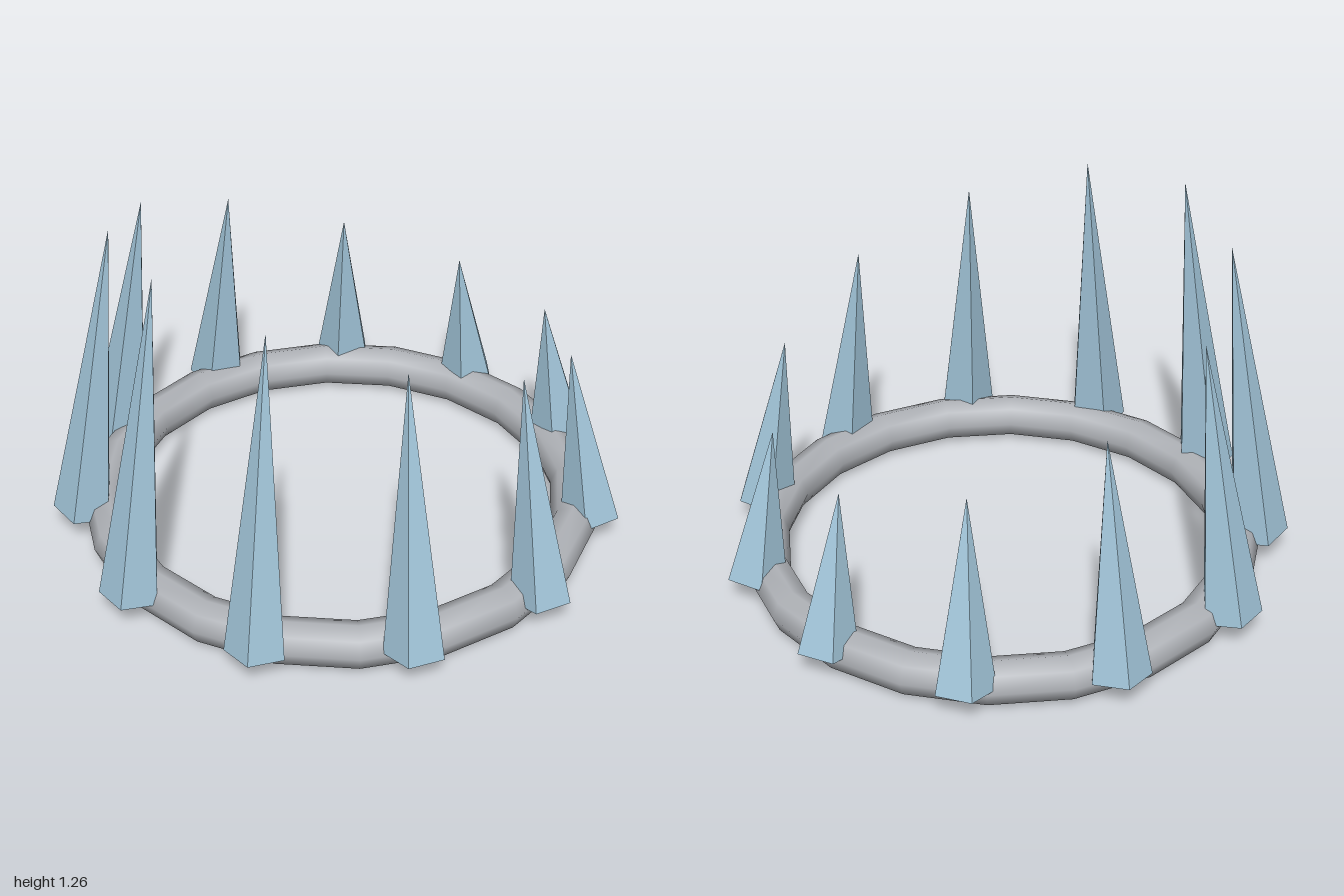
import * as THREE from 'three';

export function createModel() {
  const crown = new THREE.Group();
  crown.name = 'crown';

  const ringMetal = new THREE.MeshStandardMaterial({ color: 0xb0b3b8 });
  ringMetal.name = 'ring grey';
  const ice = new THREE.MeshStandardMaterial({ color: 0xa2c5d9, flatShading: true });
  ice.name = 'spike pale blue';

  const centreZ = -0.037;
  const ringRadius = 0.842;

  // Base ring: smooth, eight-sided tube in twenty segments
  const band = new THREE.Mesh(new THREE.TorusGeometry(0.84, 0.079, 8, 20).rotateX(Math.PI / 2), ringMetal);
  band.name = 'ring';
  band.position.set(0, 0.079, centreZ);
  crown.add(band);

  // Spikes: tallest at the front, shrinking to the back; each leans inward
  const count = 11;
  const baseY = 0.09;
  const tipHeights = [1.265, 1.215, 1.08, 0.91, 0.745, 0.65];
  const halfLeans = [0.077, 0.076, 0.073, 0.063, 0.055, 0.045];
  const up = new THREE.Vector3(0, 1, 0);

  function addSpike(step) {
    const i = Math.abs(step);
    const angle = (step / count) * Math.PI * 2;
    const at = (r, y) => new THREE.Vector3(Math.sin(angle) * r, y, centreZ + Math.cos(angle) * r);
    const base = at(ringRadius + halfLeans[i], baseY);
    const tip = at(ringRadius - halfLeans[i], tipHeights[i]);
    const axis = tip.clone().sub(base);
    // Five-sided, with one corner toward the back
    const geometry = new THREE.ConeGeometry(0.108, axis.length(), 5, 1, false, Math.PI);
    const spike = new THREE.Mesh(geometry, ice);
    spike.name = 'spike';
    spike.position.copy(base).add(tip).multiplyScalar(0.5);
    spike.quaternion.setFromUnitVectors(up, axis.normalize());
    crown.add(spike);
  }
  for (let step = -5; step <= 5; step++) addSpike(step);

  return crown;
}
